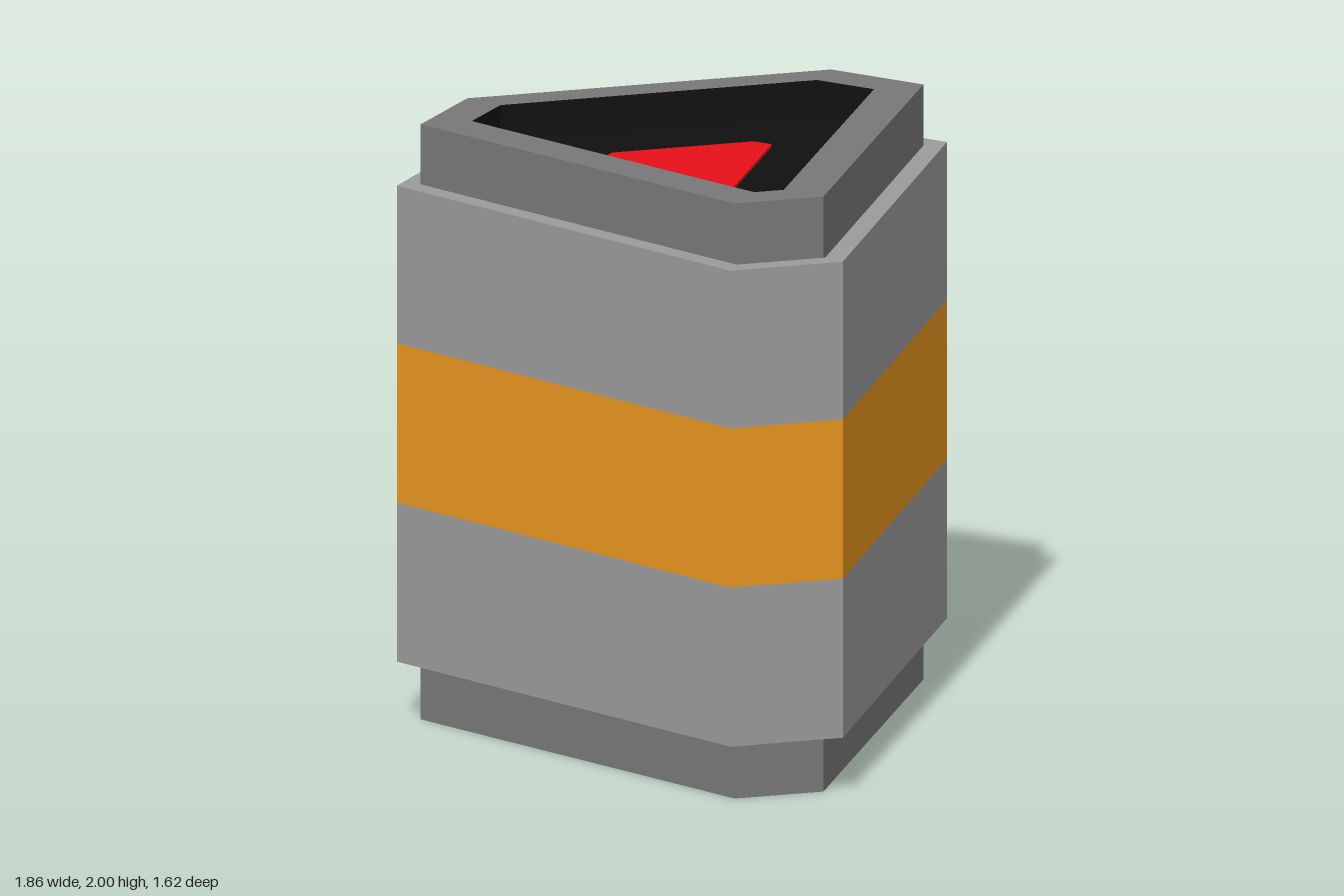
import * as THREE from 'three';

// Mirror a half outline (front to back on +x) into a closed [x, z] loop, counterclockwise from above
const mirror = (half) => [
  ...half,
  ...half.filter(([x]) => x > 0).reverse().map(([x, z]) => [-x, z]),
];

// Faceted skin through successive [outline, y] sections; a null outline closes to the axis
function loft(sections) {
  const count = sections.find(([o]) => o)[0].length;
  const at = ([outline, y], i) => {
    const [x, z] = outline ? outline[i % count] : [0, 0];
    return [x, y, z];
  };
  const pos = [];
  for (let s = 0; s < sections.length - 1; s++) {
    const [low, high] = [sections[s], sections[s + 1]];
    for (let i = 0; i < count; i++) {
      const [a, b, c, d] = [at(low, i), at(low, i + 1), at(high, i + 1), at(high, i)];
      if (low[0]) pos.push(...a, ...b, ...c);
      if (high[0]) pos.push(...a, ...c, ...d);
    }
  }
  // Sections that close at the start need the outer edge triangle only
  const geo = new THREE.BufferGeometry();
  geo.setAttribute('position', new THREE.Float32BufferAttribute(pos, 3));
  geo.computeVertexNormals();
  return geo;
}

export function createModel() {
  const model = new THREE.Group();
  model.name = 'triangularCanister';

  const add = (name, color, sections) => {
    const material = new THREE.MeshStandardMaterial({ color, flatShading: true });
    const mesh = new THREE.Mesh(loft(sections), material);
    mesh.name = name;
    model.add(mesh);
  };

  // Outlines: triangles with clipped corners
  const outer = mirror([[0.19, 0.81], [0.93, -0.49], [0.65, -0.81]]);
  const bore = mirror([[0.15, 0.745], [0.855, -0.49], [0.62, -0.755]]);
  const core = mirror([[0.15, 0.725], [0.85, -0.49], [0.615, -0.75]]);
  const well = mirror([[0.05, 0.61], [0.68, -0.48], [0.535, -0.64]]);
  const mark = mirror([[0, 0.18], [0.285, -0.315], [0.24, -0.365]]);

  // Sleeve around the core, with the coloured band flush in its middle
  const grey = 0x9b9b9b;
  add('lowerSleeve', grey, [[bore, 1.8], [bore, 0.2], [outer, 0.2], [outer, 0.735]]);
  add('band', 0xe8951f, [[outer, 0.735], [outer, 1.27]]);
  add('upperSleeve', grey, [[outer, 1.27], [outer, 1.8], [bore, 1.8]]);

  // Core standing out above and below the sleeve, with a recessed top
  add('core', 0x787878, [[null, 0], [core, 0], [core, 2], [well, 2]]);
  add('recess', 0x101010, [[well, 2], [well, 1.88], [null, 1.88]]);
  add('recessMark', 0xe81018, [[mark, 1.88], [mark, 1.89], [null, 1.89]]);

  return model;
}
